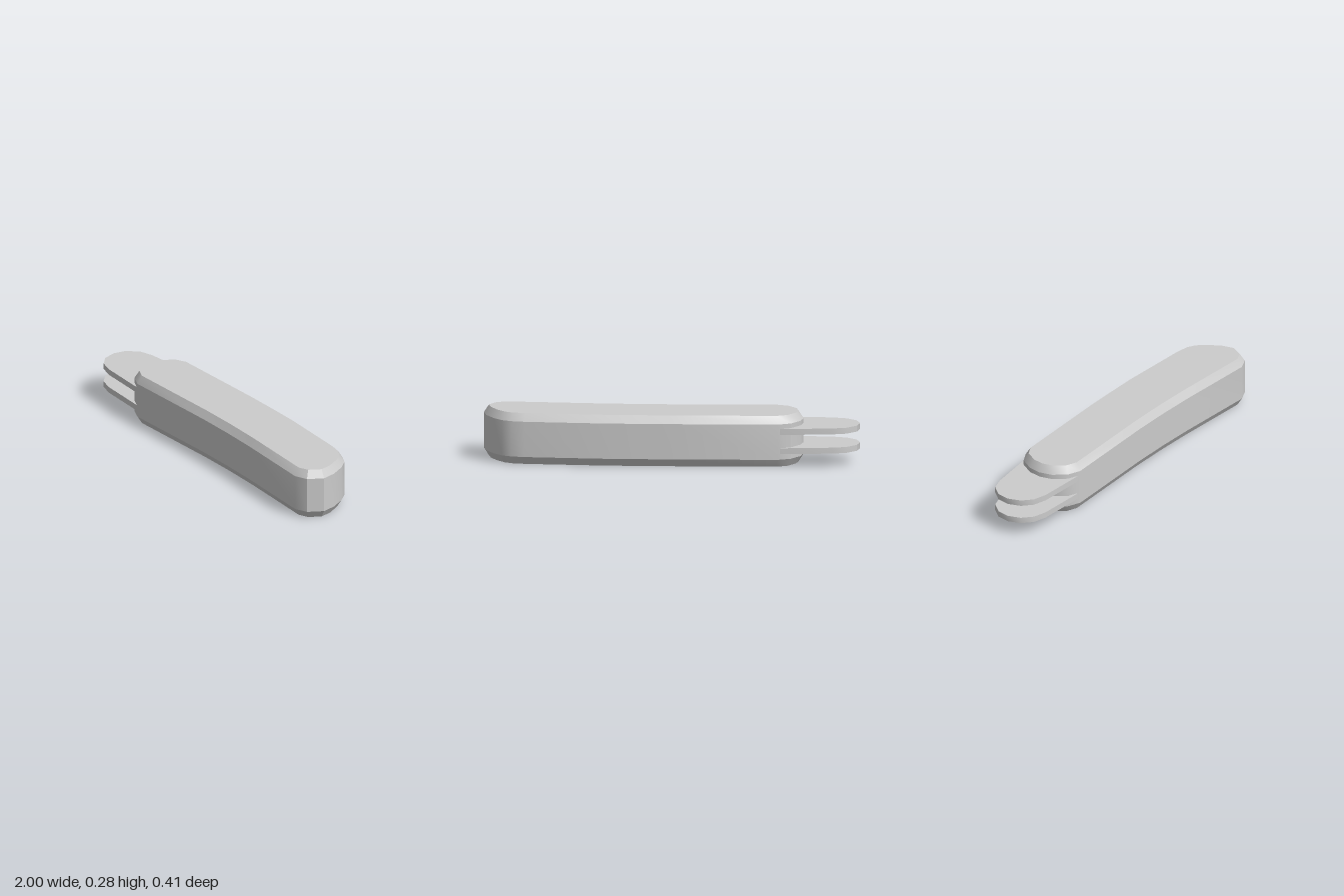
import * as THREE from 'three';
import { toCreasedNormals } from 'three/addons/utils/BufferGeometryUtils.js';

// Plan outlines as [x, z] points
const BODY = [
  [-0.567, 0.142], [0, 0.142], [0.22, 0.149], [0.43, 0.162], [0.885, 0.203],
  [0.953, 0.176], [1, 0.098], [0.985, 0.02], [0.945, -0.06], [0.9, -0.115],
  [0.85, -0.143], [0.78, -0.158], [0.38, -0.193], [0.2, -0.2], [0, -0.205], [-0.567, -0.205],
  [-0.635, -0.174], [-0.685, -0.1], [-0.7, -0.03], [-0.687, 0.04], [-0.637, 0.11],
];
const BLADE = [
  [-0.5, 0.135], [-0.6, 0.136], [-0.855, 0.114], [-0.93, 0.09], [-0.98, 0.04],
  [-1, -0.03], [-0.985, -0.1], [-0.93, -0.158], [-0.855, -0.179], [-0.6, -0.2], [-0.5, -0.2],
];

const material = new THREE.MeshStandardMaterial({ color: 0xcccccc });

// Upright slab from a plan outline, with an optional chamfer inside the outline
function slab(name, outline, bottom, top, inset = 0, chamfer = 0) {
  const shape = new THREE.Shape(outline.map(([x, z]) => new THREE.Vector2(x, -z)));
  const geometry = new THREE.ExtrudeGeometry(shape, {
    depth: top - bottom - 2 * chamfer,
    bevelEnabled: chamfer > 0,
    bevelSegments: 1,
    bevelThickness: chamfer,
    bevelSize: inset,
    bevelOffset: -inset,
  });
  geometry.rotateX(-Math.PI / 2).translate(0, bottom + chamfer, 0);
  const mesh = new THREE.Mesh(toCreasedNormals(geometry, 0.54), material);
  mesh.name = name;
  return mesh;
}

export function createModel() {
  const group = new THREE.Group();
  group.name = 'curvedHandle';
  // Chamfered, slightly bent body
  group.add(slab('body', BODY, 0, 0.275, 0.026, 0.042));
  // Two parallel rounded tongues leaving the right end
  group.add(slab('lowerTongue', BLADE, 0.072, 0.104));
  group.add(slab('upperTongue', BLADE, 0.176, 0.208));
  return group;
}
